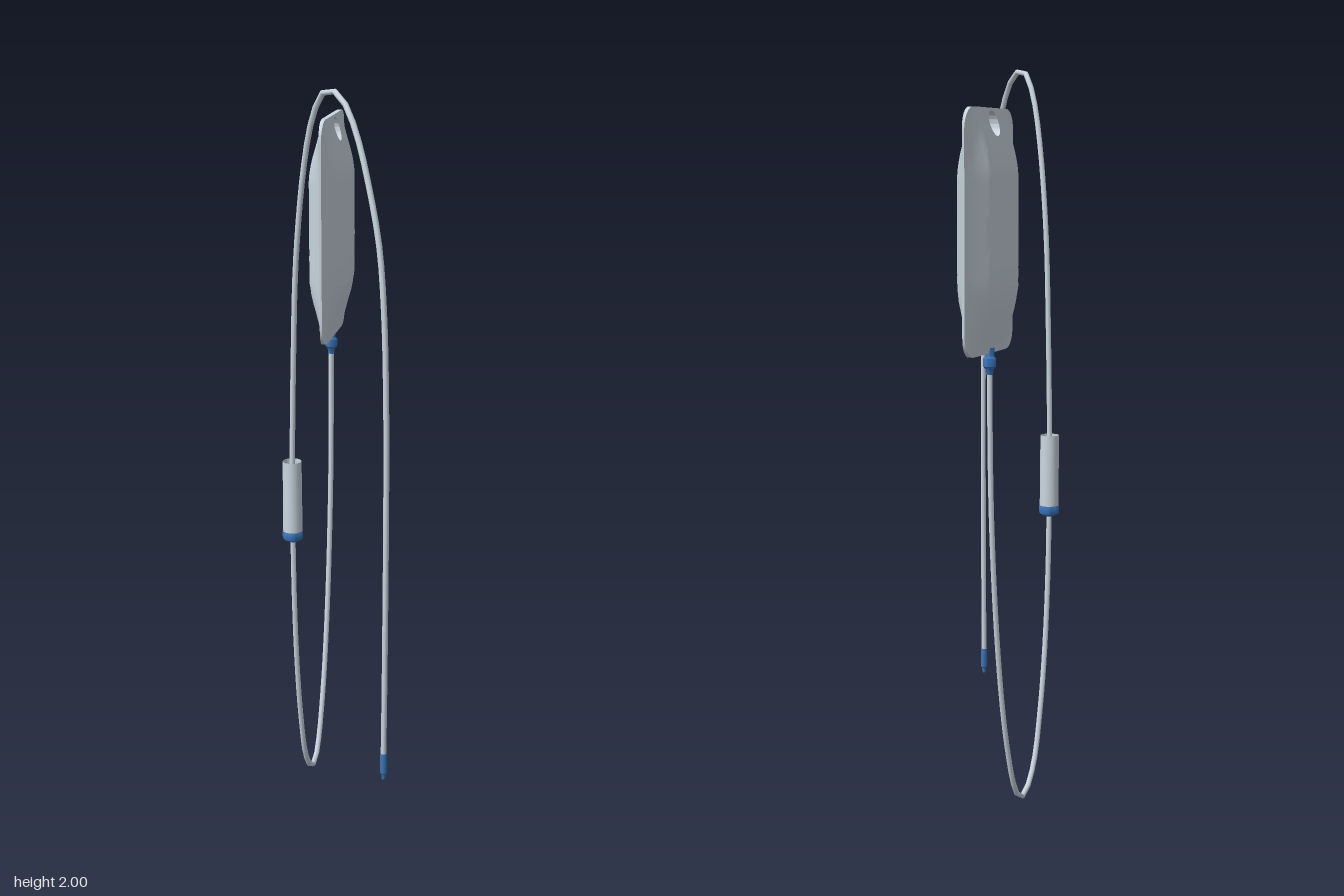
import * as THREE from 'three';
import { toCreasedNormals } from 'three/addons/utils/BufferGeometryUtils.js';

const plastic = new THREE.MeshStandardMaterial({ color: 0xcbd7e0, side: THREE.DoubleSide });
plastic.name = 'clear plastic';
const blue = new THREE.MeshStandardMaterial({ color: 0x3a74b8 });
blue.name = 'blue fitting';

function add(parent, name, geometry, material, x = 0, y = 0, z = 0) {
  const mesh = new THREE.Mesh(geometry, material);
  mesh.name = name;
  mesh.position.set(x, y, z);
  parent.add(mesh);
  return mesh;
}

function lathe(profile, segments = 20) {
  const g = new THREE.LatheGeometry(profile.map(([r, y]) => new THREE.Vector2(r, y)), segments);
  return toCreasedNormals(g, 0.7);
}

// Pillow-shaped bag: rings run from the hanging hole out to the rounded outline
function bagGeometry() {
  const W = 0.174, H = 0.308, R = 0.055, holeY = 0.27, holeR = 0.032, rings = 20;
  const shape = new THREE.Shape();
  shape.moveTo(W, -H + R);
  shape.lineTo(W, H - R);
  shape.absarc(W - R, H - R, R, 0, Math.PI / 2);
  shape.absarc(-W + R, H - R, R, Math.PI / 2, Math.PI);
  shape.absarc(-W + R, -H + R, R, Math.PI, Math.PI * 1.5);
  shape.absarc(W - R, -H + R, R, Math.PI * 1.5, Math.PI * 2);
  const outline = shape.getSpacedPoints(140).slice(0, 140);

  const thickness = (x, y) => {
    const across = THREE.MathUtils.clamp((W - Math.abs(x)) / 0.074, 0, 1);
    const along = THREE.MathUtils.smoothstep(H - Math.abs(y), -0.04, 0.18);
    const crown = 1 - 0.12 * (x / W) ** 2;
    return 0.003 + 0.045 * across * along * crown;
  };

  const pos = [], index = [];
  const n = outline.length, m = 2 * (rings + 1);
  for (const p of outline) {
    const a = Math.atan2(p.y - holeY, p.x);
    const hx = Math.cos(a) * holeR, hy = holeY + Math.sin(a) * holeR;
    for (let j = 0; j < m; j++) {
      const front = j <= rings;
      const s = (front ? j : m - 1 - j) / rings;
      const x = THREE.MathUtils.lerp(hx, p.x, s), y = THREE.MathUtils.lerp(hy, p.y, s);
      pos.push(x, y, thickness(x, y) * (front ? 1 : -1));
    }
  }
  for (let i = 0; i < n; i++) {
    for (let j = 0; j < m; j++) {
      const i2 = (i + 1) % n, j2 = (j + 1) % m;
      const a = i * m + j, b = i * m + j2, c = i2 * m + j2, d = i2 * m + j;
      index.push(a, b, c, a, c, d);
    }
  }
  const g = new THREE.BufferGeometry();
  g.setAttribute('position', new THREE.Float32BufferAttribute(pos, 3));
  g.setIndex(index);
  return toCreasedNormals(g, 0.7);
}

function tube(points, zAt, segments) {
  const curve = new THREE.CatmullRomCurve3(points.map(([x, y]) => new THREE.Vector3(x, y, zAt(x))));
  return new THREE.TubeGeometry(curve, segments, 0.0075, 8);
}

export function createModel() {
  const model = new THREE.Group();
  model.name = 'infusionSet';

  // Bag, turned diagonally
  const bag = add(model, 'bag', bagGeometry(), plastic, -0.262, 1.567, -0.097);
  bag.rotation.y = -Math.PI / 4;

  // Outlet port under the bag
  add(model, 'bagPort', lathe([
    [0, 0], [0.009, 0], [0.011, 0.015], [0.017, 0.022], [0.017, 0.042], [0.012, 0.048], [0.012, 0.07], [0, 0.07],
  ]), blue, -0.266, 1.203, -0.095);

  // Lower tube hangs from the bag and rises to the drip chamber
  add(model, 'lowerTube', tube([
    [-0.267, 1.21], [-0.265, 1.0], [-0.259, 0.8], [-0.243, 0.545], [-0.222, 0.333], [-0.2, 0.185],
    [-0.17, 0.053], [-0.146, 0.009], [-0.122, 0.016], [-0.09, 0.08], [-0.063, 0.23],
    [-0.045, 0.4], [-0.034, 0.6], [-0.03, 0.78],
  ], (x) => -0.095 + (x + 0.267) * 1.224, 48), plastic);

  // Drip chamber, open at the top, seated in a blue base
  add(model, 'dripChamber', new THREE.CylinderGeometry(0.0255, 0.0265, 0.205, 24, 1, true),
    plastic, -0.03, 0.893, 0.195);
  add(model, 'chamberBase', lathe([
    [0, 0], [0.016, 0], [0.026, 0.006], [0.028, 0.012], [0.028, 0.026], [0.026, 0.03], [0, 0.03],
  ], 24), blue, -0.03, 0.769, 0.195);

  // Upper tube arches over and drops to the free end
  add(model, 'upperTube', tube([
    [-0.029, 0.79], [-0.026, 1.0], [-0.016, 1.285], [0, 1.55], [0.037, 1.79], [0.074, 1.915],
    [0.116, 1.98], [0.155, 1.991], [0.206, 1.963], [0.254, 1.89], [0.296, 1.785], [0.34, 1.635],
    [0.36, 1.47], [0.37, 1.23], [0.372, 0.995], [0.369, 0.49], [0.366, 0.27],
  ], (x) => 0.197 - (x + 0.03) * 0.055, 60), plastic);

  // Connector on the free end
  add(model, 'endConnector', lathe([
    [0, 0], [0.005, 0], [0.006, 0.014], [0.0095, 0.018], [0.0095, 0.06], [0.0085, 0.074], [0, 0.074],
  ], 16), blue, 0.366, 0.213, 0.175);

  return model;
}
